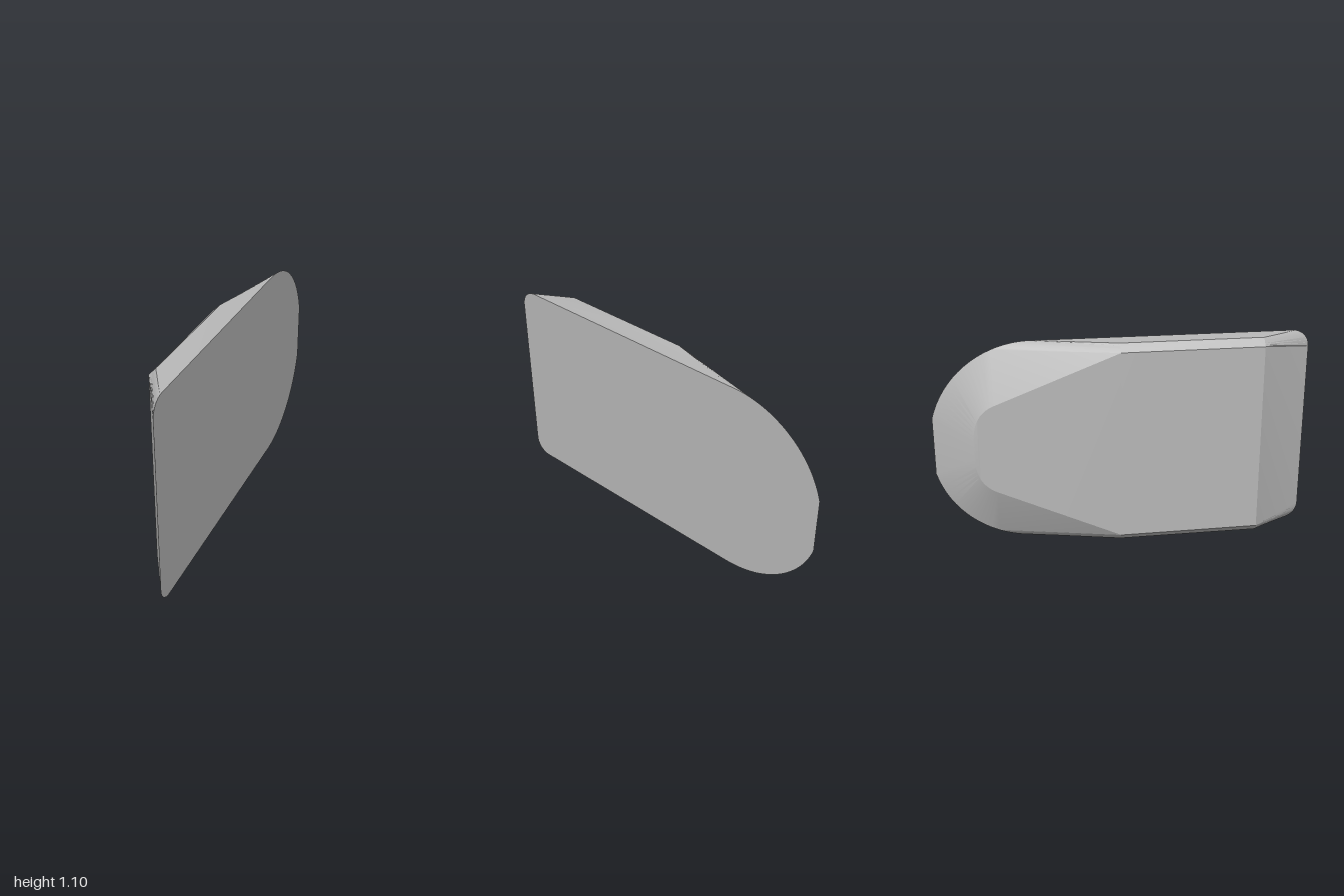
import * as THREE from 'three';
import { toCreasedNormals } from 'three/addons/utils/BufferGeometryUtils.js';

const HEIGHT = 1.1;
const V = (x, y, z) => new THREE.Vector3(x, y, z);
const lerp = THREE.MathUtils.lerp;

// the flat side leans slightly; the raised side has a shallow ridge at z = -0.03
const flatX = (z) => 0.065 + 0.025 * z;
const raisedX = (z) => z > -0.03
  ? lerp(-0.097, -0.075, (z + 0.03) / 0.75)
  : lerp(-0.097, -0.045, (-0.03 - z) / 0.76);
const flat = (z, y) => V(flatX(z), y, z);
const raised = (z, y) => V(raisedX(z), y, z);

// upper half of the rim, front to back: [flat side, chamfer edge, raised side]
function upperRim() {
  const rim = [];
  const frontIn = raised(0.72, 1.06), frontMid = V(-0.037, HEIGHT, 0.72);
  const ridgeIn = raised(-0.03, 1.06), ridgeMid = V(-0.055, HEIGHT, -0.03);

  // small rounded front corner
  for (let k = 0; k <= 8; k++) {
    const a = (k / 8) * Math.PI / 2;
    const o = flat(0.91 + 0.09 * Math.cos(a), 1.01 + 0.09 * Math.sin(a));
    rim.push([o, frontIn.clone().lerp(frontMid, k / 8), frontIn]);
  }

  // large rounded back corner: first a fan from the end of the chamfer
  const arc = (a) => flat(-0.48 - 0.54 * Math.sin(a), 0.56 + 0.54 * Math.cos(a));
  const turn = 0.39, end = Math.asin(0.52 / 0.54);
  for (let k = 0; k <= 8; k++) {
    rim.push([arc(turn * k / 8), ridgeMid.clone().lerp(ridgeIn, k / 8), ridgeIn]);
  }
  // then the curved end of the raised face
  const curve = new THREE.QuadraticBezierCurve(
    new THREE.Vector2(-0.68, 0.79), new THREE.Vector2(-0.79, 0.744), new THREE.Vector2(-0.79, 0.6));
  for (let k = 0; k <= 12; k++) {
    const c = curve.getPoint(k / 12), p = raised(c.x, c.y);
    rim.push([arc(lerp(turn, end, k / 12)), p, p]);
  }
  return rim;
}

function plateGeometry() {
  const pos = [];
  const tri = (a, b, c) => {
    const area = b.clone().sub(a).cross(c.clone().sub(a)).length();
    if (area > 1e-8) for (const p of [a, b, c]) pos.push(p.x, p.y, p.z);
  };
  const quad = (a, b, c, d) => { tri(a, b, c); tri(a, c, d); };

  const upper = upperRim();
  const lower = upper.map((row) => row.map((p) => V(p.x, HEIGHT - p.y, p.z)));
  const ring = [...upper, ...lower.slice().reverse()];

  // sloping sides and chamfers
  ring.forEach((row, i) => {
    const next = ring[(i + 1) % ring.length];
    for (let j = 0; j < 2; j++) quad(row[j], next[j], next[j + 1], row[j + 1]);
  });

  // flat side and raised side, as strips between the upper and lower rim
  for (let i = 0; i < upper.length - 1; i++) {
    const u = upper[i], l = lower[i], u2 = upper[i + 1], l2 = lower[i + 1];
    quad(u[0], l[0], l2[0], u2[0]);
    quad(u[2], u2[2], l2[2], l[2]);
  }

  const geometry = new THREE.BufferGeometry();
  geometry.setAttribute('position', new THREE.Float32BufferAttribute(pos, 3));
  return toCreasedNormals(geometry, 0.33);
}

export function createModel() {
  const model = new THREE.Group();
  model.name = 'bevelledPlate';
  const grey = new THREE.MeshStandardMaterial({ color: 0xb8b8b8 });
  grey.name = 'lightGrey';
  const plate = new THREE.Mesh(plateGeometry(), grey);
  plate.name = 'plate';
  model.add(plate);
  return model;
}
